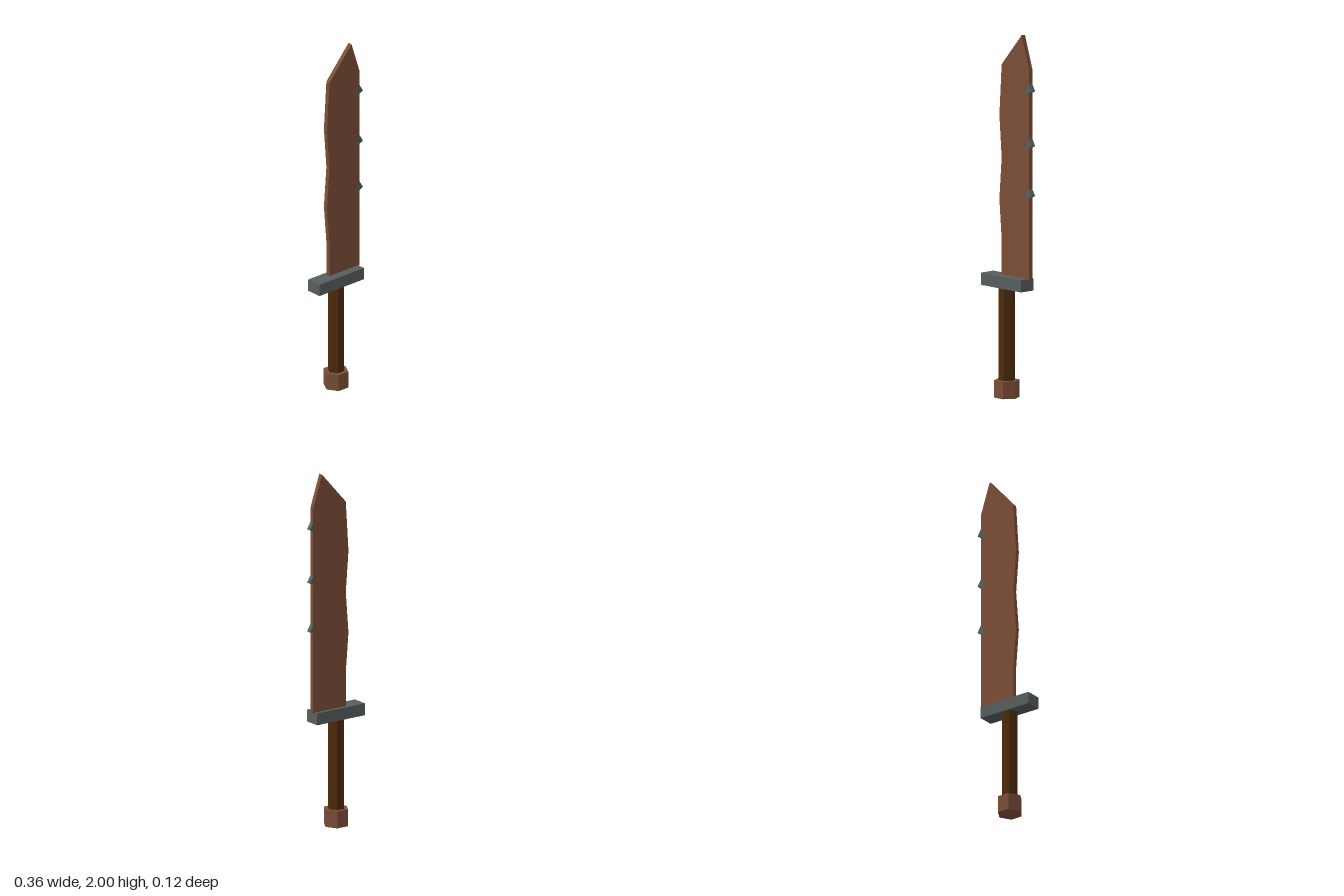
import * as THREE from 'three';

const material = (name, color) => {
  const m = new THREE.MeshStandardMaterial({ color });
  m.name = name;
  return m;
};

export function createModel() {
  const rust = material('rusty brown', 0x7c4e38);
  const steel = material('dark steel', 0x585e5e);
  const leather = material('dark leather', 0x4e2c0a);
  const model = new THREE.Group();
  model.name = 'machete';

  const add = (name, geometry, mat, x, y, z) => {
    const mesh = new THREE.Mesh(geometry, mat);
    mesh.name = name;
    mesh.position.set(x, y, z);
    model.add(mesh);
  };

  // Flat plate cut from an outline in the XY plane
  const plate = (points, depth) => new THREE.ExtrudeGeometry(
    new THREE.Shape(points.map(([x, y]) => new THREE.Vector2(x, y))),
    { depth, bevelEnabled: false });

  // Six-sided prism with corners on the x axis
  const hexPrism = (radius, height) =>
    new THREE.CylinderGeometry(radius, radius, height, 6, 1, false, Math.PI / 6).toNonIndexed();

  const addHex = (name, radius, bottom, top, mat) => {
    const geometry = hexPrism(radius, top - bottom);
    geometry.computeVertexNormals();
    add(name, geometry, mat, -0.02, (bottom + top) / 2, 0);
  };

  // Handle
  addHex('pommel', 0.07, 0, 0.095, rust);
  addHex('grip', 0.046, 0.09, 0.605, leather);
  add('guard', new THREE.BoxGeometry(0.322, 0.067, 0.092), steel, -0.019, 0.634, -0.0015);

  // Blade with a wavy cutting edge and a clipped point
  add('blade', plate([
    [-0.065, 0.665], [0.154, 0.665], [0.154, 1.82], [0.095, 2.0], [-0.065, 1.82],
    [-0.083, 1.54], [-0.065, 1.31], [-0.083, 1.08], [-0.065, 0.86],
  ], 0.025), rust, 0, 0, -0.028);

  // Barbs along the spine
  for (const y of [1.7, 1.4, 1.125]) {
    add('barb', plate([[0.118, -0.028], [0.177, 0], [0.148, 0.048]], 0.026), steel, 0, y, -0.028);
  }

  return model;
}
